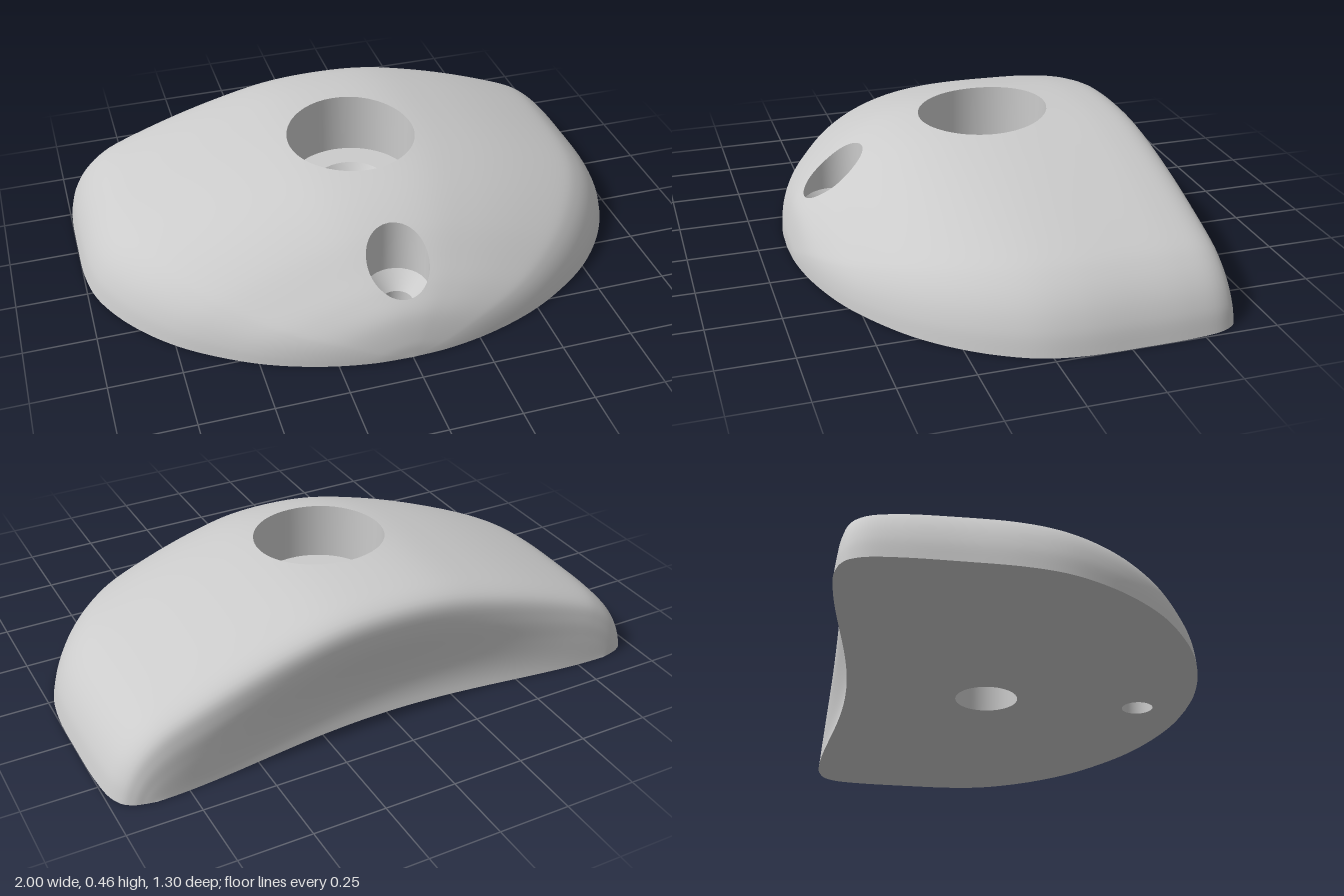
import * as THREE from 'three';
import { mergeVertices } from 'three/addons/utils/BufferGeometryUtils.js';

const V2 = (x, y) => new THREE.Vector2(x, y);
const ROWS = 120, COLS = 100;

// Vertical holes: radius, z centre, counterbore floor, and seat steps [radius, y] down to the base
const HOLES = [
  { name: 'boltHole', z: -0.08, r: 0.23, floor: 0.23, steps: [[0.23, 0.23], [0.133, 0.23], [0.11, 0.2], [0.11, 0]] },
  { name: 'screwHole', z: 0.47, r: 0.107, floor: 0.16, steps: [[0.107, 0.16], [0.055, 0.1], [0.055, 0]] },
];

// Spine from front to back: half width, crown height, z
const SPINE = [
  [0, 0, 0.648], [0.13, 0.06, 0.641], [0.29, 0.15, 0.61], [0.45, 0.213, 0.555], [0.575, 0.266, 0.49],
  [0.73, 0.347, 0.38], [0.84, 0.402, 0.265], [0.918, 0.434, 0.15], [0.972, 0.451, 0.03],
  [0.996, 0.459, -0.1], [1, 0.458, -0.3], [0.997, 0.45, -0.46], [0.985, 0.431, -0.56],
  [0.965, 0.4, -0.605], [0.935, 0.32, -0.63], [0.9, 0.2, -0.642], [0.86, 0, -0.65],
];

// Half of the crosswise section, as fractions of half width and crown height
const SECTION = [[0.2, 0.973], [0.4, 0.875], [0.6, 0.738], [0.8, 0.565], [0.88, 0.46], [0.94, 0.325], [0.98, 0.165], [1, 0]];

// Grid of points for the domed skin, with the back wall scooped in
function skinGrid() {
  const spine = new THREE.CatmullRomCurve3(SPINE.map(p => new THREE.Vector3(...p))).getSpacedPoints(ROWS);
  const half = SECTION.map(([x, y]) => V2(x, y));
  const section = new THREE.SplineCurve([
    ...half.map(p => V2(-p.x, p.y)).reverse(), V2(0, 1), ...half,
  ]).getSpacedPoints(COLS);
  return spine.map(({ x: w, y: c, z }) => section.map(s => {
    const x = w * s.x, q = Math.min(c / 0.457, 1);
    const side = (1 - Math.min(Math.abs(x) / 0.85, 1) ** 2) ** 2;
    const depth = 0.075 * (1 - q * q) ** 2 + 0.04 * Math.sin(Math.PI * q) * (1 - q) ** 2;
    const back = THREE.MathUtils.smoothstep(-z, 0.48, 0.62);
    return new THREE.Vector3(x, Math.max(0, c * s.y), z + depth * side * back);
  }));
}

// Trims a polygon to the outside of a hole; returns it with the cut edge
function clip(poly, hole) {
  const d = p => Math.hypot(p.x, p.z - hole.z) - hole.r;
  const out = [];
  let exit = null, entry = null;
  poly.forEach((a, i) => {
    const b = poly[(i + 1) % poly.length], da = d(a), db = d(b);
    if (da >= 0) out.push(a);
    if ((da >= 0) !== (db >= 0)) {
      const m = a.clone().lerp(b, da / (da - db));
      out.push(m);
      if (da >= 0) exit = m; else entry = m;
    }
  });
  return { out, exit, entry };
}

function toGeometry(points, normals) {
  const g = new THREE.BufferGeometry().setFromPoints(points);
  if (normals) {
    g.setAttribute('normal', new THREE.Float32BufferAttribute(normals.flatMap(n => n.toArray()), 3));
    return g;
  }
  const merged = mergeVertices(g, 1e-5);
  merged.computeVertexNormals();
  return merged;
}

export function createModel() {
  const group = new THREE.Group();
  const material = new THREE.MeshStandardMaterial({ color: 0xcccccc, side: THREE.DoubleSide });
  const add = (name, geometry, parent = group) => {
    const mesh = new THREE.Mesh(geometry, material);
    mesh.name = name;
    parent.add(mesh);
    return mesh;
  };

  // Domed skin, trimmed around the holes; each cut edge drops a strip of counterbore wall
  const grid = skinGrid();
  const skin = [];
  const walls = HOLES.map(() => ({ points: [], normals: [] }));
  const addTriangle = (...tri) => {
    let poly = tri;
    HOLES.forEach((hole, k) => {
      const { out, exit, entry } = clip(poly, hole);
      poly = out;
      if (!exit || !entry) return;
      const low = p => new THREE.Vector3(p.x, hole.floor, p.z);
      for (const p of [entry, exit, low(exit), entry, low(exit), low(entry)]) {
        walls[k].points.push(p);
        walls[k].normals.push(new THREE.Vector3(-p.x, 0, hole.z - p.z).normalize());
      }
    });
    for (let i = 1; i + 1 < poly.length; i++) skin.push(poly[0], poly[i], poly[i + 1]);
  };
  for (let i = 0; i < ROWS; i++) {
    for (let j = 0; j < COLS; j++) {
      const a = grid[i][j], b = grid[i][j + 1], c = grid[i + 1][j], d = grid[i + 1][j + 1];
      if (i > 0) addTriangle(a, b, c);
      addTriangle(b, d, c);
    }
  }
  add('domedBody', toGeometry(skin));

  // Flat base with the through holes
  const outline = [
    ...grid.map(row => row[COLS]),
    ...grid[ROWS].slice(1, -1).reverse(),
    ...grid.slice(1).reverse().map(row => row[0]),
  ];
  const base = new THREE.Shape(outline.map(p => V2(p.x, p.z)));
  for (const { z, steps } of HOLES) {
    base.holes.push(new THREE.Path().absarc(0, z, steps.at(-1)[0], 0, Math.PI * 2, true));
  }
  add('base', new THREE.ShapeGeometry(base, 32).rotateX(Math.PI / 2));

  // Counterbore walls, seats and bores
  HOLES.forEach((hole, k) => {
    const part = new THREE.Group();
    part.name = hole.name;
    group.add(part);
    add('counterbore', toGeometry(walls[k].points, walls[k].normals), part);
    for (let i = 0; i + 1 < hole.steps.length; i++) {
      const profile = [V2(...hole.steps[i]), V2(...hole.steps[i + 1])];
      const name = i + 2 === hole.steps.length ? 'bore' : 'seat';
      add(name, new THREE.LatheGeometry(profile, 64), part).position.z = hole.z;
    }
  });
  return group;
}
